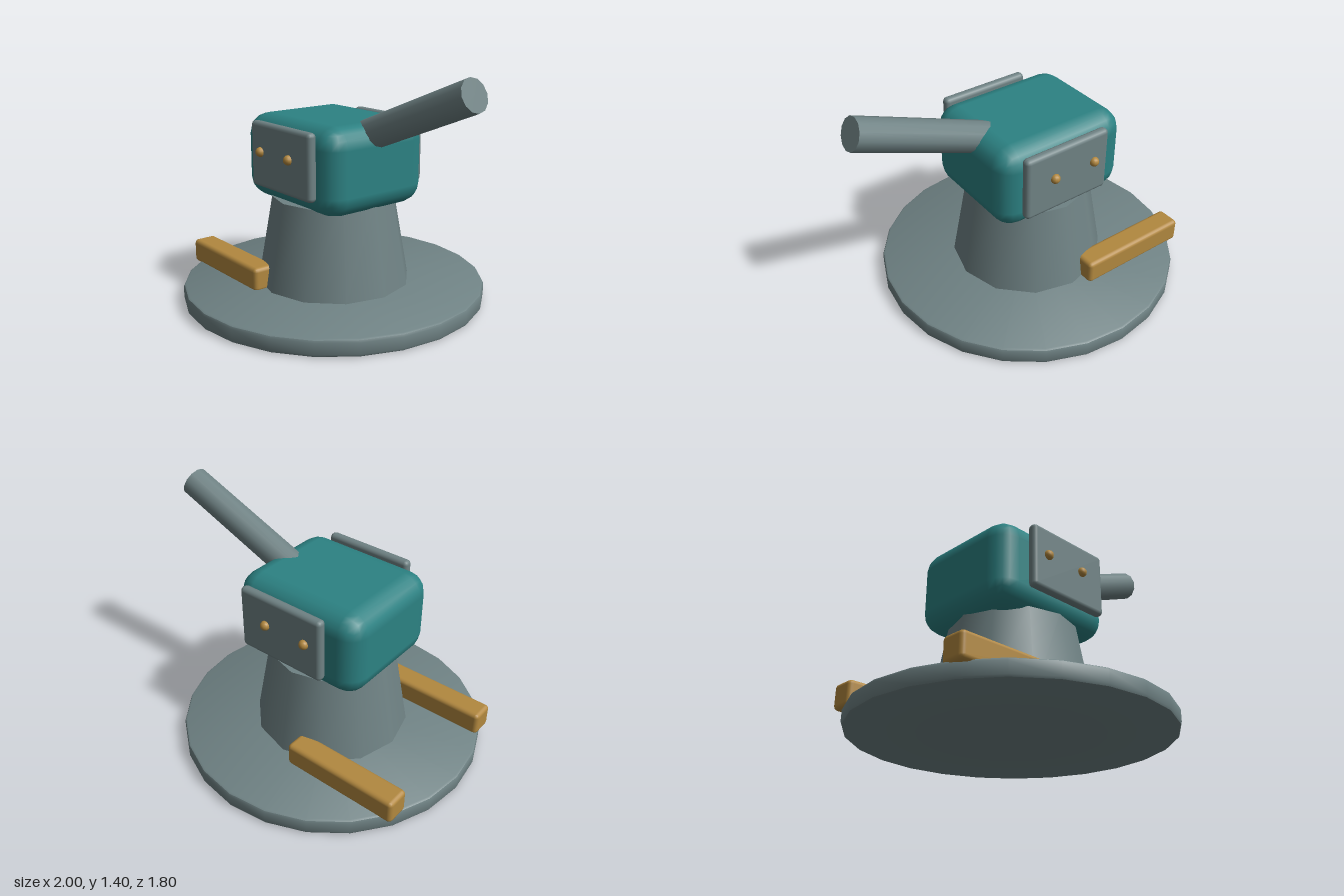
import * as THREE from 'three';
import { toCreasedNormals } from 'three/addons/utils/BufferGeometryUtils.js';
import { RoundedBoxGeometry } from 'three/addons/geometries/RoundedBoxGeometry.js';

const AXIS_X = -0.1; // shared vertical axis of the base, pedestal and head

function material(name, color) {
  const m = new THREE.MeshStandardMaterial({ color });
  m.name = name;
  return m;
}

export function createModel() {
  const model = new THREE.Group();
  model.name = 'turret';
  const steel = material('steel grey', 0x6f8284);
  const teal = material('teal paint', 0x2c8283);
  const brass = material('brass', 0xb2883f);

  function add(name, geometry, mat, x, y, z) {
    const mesh = new THREE.Mesh(geometry, mat);
    mesh.name = name;
    mesh.position.set(x, y, z);
    model.add(mesh);
    return mesh;
  }

  // Round base plate with softened rims
  const rim = [[0, 0], [0.885, 0], [0.895, 0.006], [0.9, 0.018], [0.9, 0.082], [0.895, 0.094], [0.885, 0.1], [0, 0.1]]
    .map(([r, y]) => new THREE.Vector2(r, y));
  add('basePlate', toCreasedNormals(new THREE.LatheGeometry(rim, 24), 0.6), steel, AXIS_X, 0, 0);

  // Tapered pedestal
  add('pedestal', new THREE.CylinderGeometry(0.365, 0.457, 0.52, 12), steel, AXIS_X, 0.355, 0);

  // Rounded head
  add('head', new RoundedBoxGeometry(0.84, 0.5, 0.71, 2, 0.12), teal, AXIS_X, 0.84, 0);

  // Raised barrel, running from inside the head to the muzzle
  const start = new THREE.Vector3(0.1, 0.971, 0);
  const muzzle = new THREE.Vector3(0.965, 1.317, 0);
  const direction = muzzle.clone().sub(start);
  const centre = start.clone().add(muzzle).multiplyScalar(0.5);
  const barrel = add('barrel', new THREE.CylinderGeometry(0.09, 0.09, direction.length(), 12), steel, centre.x, centre.y, 0);
  barrel.quaternion.setFromUnitVectors(new THREE.Vector3(0, 1, 0), direction.normalize());

  // Side plates, rivets and base rails, mirrored front and back
  for (const side of [1, -1]) {
    const end = side > 0 ? 'front' : 'back';
    add(end + 'Plate', new RoundedBoxGeometry(0.555, 0.38, 0.058, 2, 0.025), steel, -0.063, 0.88, side * 0.386);
    for (const x of [-0.238, 0.032]) {
      add(end + 'Rivet', new THREE.SphereGeometry(0.028, 12, 8), brass, x, 0.9, side * 0.419);
    }
    add(end + 'Rail', new RoundedBoxGeometry(0.715, 0.145, 0.145, 2, 0.025), brass, -0.542, 0.157, side * 0.44);
  }
  return model;
}
